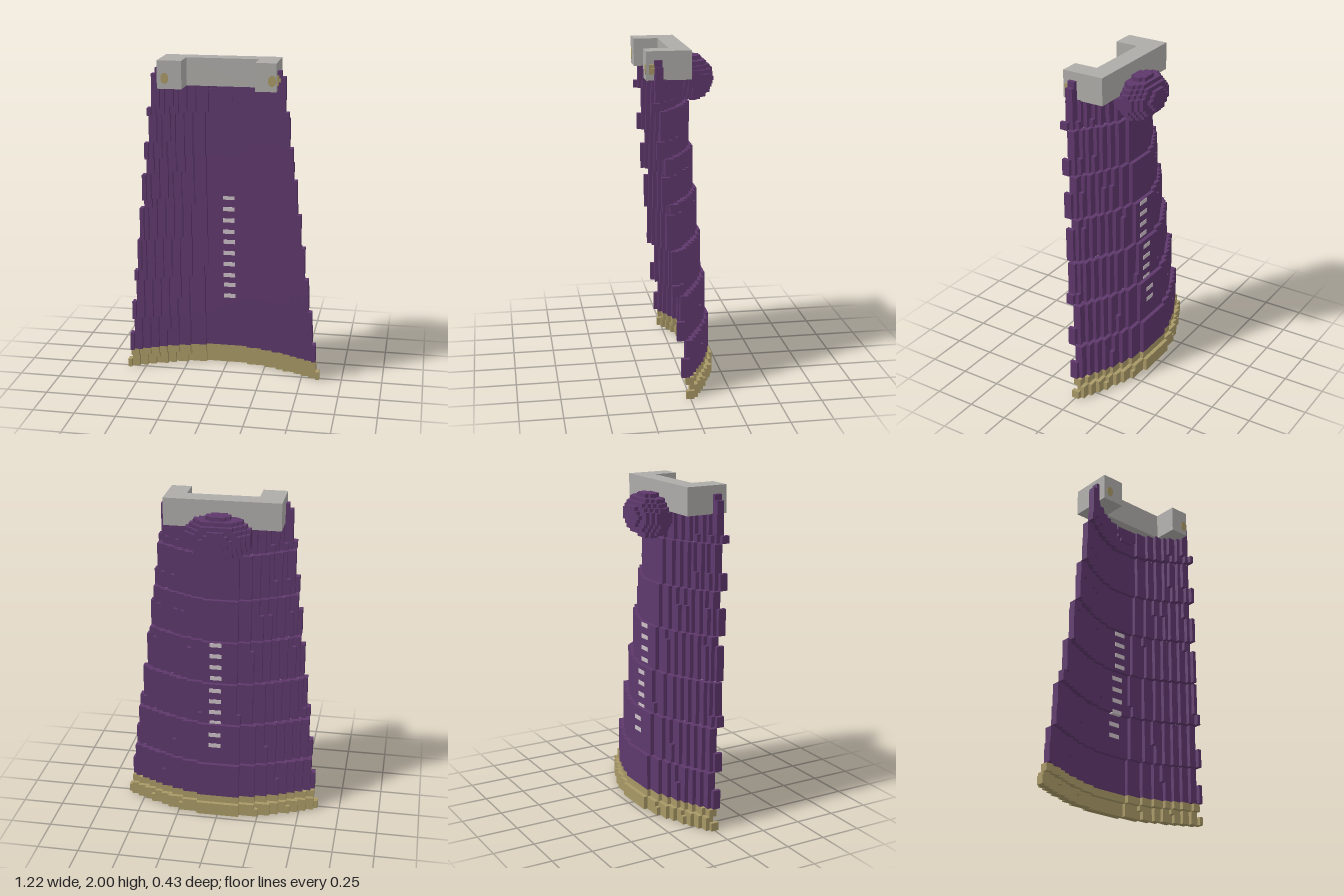
import * as THREE from 'three';
import { mergeGeometries } from 'three/addons/utils/BufferGeometryUtils.js';

const V = 0.024; // block size

const material = (name, color) => {
  const m = new THREE.MeshStandardMaterial({ color });
  m.name = name;
  return m;
};

// Box given by its lower and upper limits on each axis
function block(x0, x1, y0, y1, z0, z1) {
  return new THREE.BoxGeometry(x1 - x0, y1 - y0, z1 - z0)
    .translate((x0 + x1) / 2, (y0 + y1) / 2, (z0 + z1) / 2);
}

// Heights where the cape narrows by a block, and where it steps forward by a block
const narrowAt = [0.05, 0.24, 0.46, 0.675, 0.875, 1.085, 1.3, 1.5, 1.715];
const forwardAt = [0.08, 0.345, 0.61, 0.875, 1.14, 1.4, 1.67];
const HEM = 0.125, CAPE_TOP = 1.84;
const countBelow = (list, y) => list.filter((v) => v <= y).length;
const backZ = (y) => -0.215 + countBelow(forwardAt, y) * 0.0243;

// One horizontal band of the cape: a stepped arc, with equal columns joined into runs
function capeBand(y0, y1) {
  const y = (y0 + y1) / 2;
  const n = 25 - countBelow(narrowAt, y);
  const half = 0.615 - 0.118 * y;
  const step = (i) => {
    const u = Math.min(1, Math.abs(i * V) / half);
    return Math.round(0.193 * (1 - Math.cos(u * Math.PI / 2)) / V);
  };
  const out = [];
  for (let i = -n, start = -n; i <= n; i++) {
    if (i < n && step(i + 1) === step(start)) continue;
    const z = backZ(y) + step(start) * V;
    out.push(block((start - 0.5) * V, (i + 0.5) * V, y0, y1, z, z + 2 * V));
    start = i + 1;
  }
  return out;
}

function capePart(from, to) {
  const cuts = [from, to, ...narrowAt, ...forwardAt].filter((v) => v >= from && v <= to);
  const ys = [...new Set(cuts)].sort((a, b) => a - b);
  const parts = [];
  for (let k = 0; k < ys.length - 1; k++) parts.push(...capeBand(ys[k], ys[k + 1]));
  return parts;
}

// Stepped ellipsoid made of bars running along x
function blockEllipsoid(cx, cy, cz, rx, ry, rz) {
  const parts = [];
  const ny = Math.round(ry * 2 / V), nz = Math.round(rz * 2 / V);
  const dy = ry * 2 / ny, dz = rz * 2 / nz;
  for (let j = 0; j < ny; j++) {
    for (let k = 0; k < nz; k++) {
      const y = -ry + (j + 0.5) * dy, z = -rz + (k + 0.5) * dz;
      const r = 1 - (y / ry) ** 2 - (z / rz) ** 2;
      if (r <= 0) continue;
      const h = Math.max(1, Math.round(rx * Math.sqrt(r) / V)) * V;
      parts.push(block(cx - h, cx + h, cy + y - dy / 2, cy + y + dy / 2,
        cz + z - dz / 2, cz + z + dz / 2));
    }
  }
  return parts;
}

export function createModel() {
  const group = new THREE.Group();
  const purple = material('purple cloth', 0x5e386c);
  const gold = material('gold trim', 0xa89866);
  const grey = material('grey collar', 0xadaba8);
  const pale = material('pale stripe', 0xcabfc6);

  const add = (name, geometry, mat) => {
    const mesh = new THREE.Mesh(geometry, mat);
    mesh.name = name;
    group.add(mesh);
    return mesh;
  };

  // Cape cloth and its hem
  add('capeHem', mergeGeometries(capePart(0, HEM)), gold);
  add('capeCloth', mergeGeometries(capePart(HEM, CAPE_TOP)), purple);

  // Cape corners rising beside the collar
  for (const s of [-1, 1]) {
    const corner = mergeGeometries([
      block(-0.03, 0.024, CAPE_TOP, 1.915, 0.125, 0.17),
      block(-0.03, 0, 1.915, 1.95, 0.125, 0.17),
    ]);
    if (s < 0) corner.rotateY(Math.PI).translate(0, 0, 0.295);
    add(s > 0 ? 'leftCapeCorner' : 'rightCapeCorner', corner.translate(s * 0.372, 0, 0), purple);
  }

  // Rolled hood at the back
  add('hoodRoll', mergeGeometries(blockEllipsoid(0.01, 1.8, -0.1, 0.195, 0.13, 0.115)), purple);

  // U-shaped collar, open to the front
  const outline = new THREE.Shape([
    [-0.35, 0.045], [0.347, 0.045], [0.347, -0.215], [0.225, -0.215],
    [0.225, -0.07], [-0.205, -0.07], [-0.205, -0.215], [-0.35, -0.215],
  ].map(([x, y]) => new THREE.Vector2(x, y)));
  const collar = new THREE.ExtrudeGeometry(outline, { depth: 0.165, bevelEnabled: false });
  add('collar', collar.rotateX(-Math.PI / 2).translate(0, 1.835, 0), grey);

  // Clasps on the collar ends
  for (const [name, x] of [['rightClasp', -0.305], ['leftClasp', 0.322]]) {
    const clasp = new THREE.CylinderGeometry(1, 1, 0.006, 8).rotateX(Math.PI / 2).rotateZ(Math.PI / 8);
    add(name, clasp.scale(0.024, 0.034, 1).translate(x, 1.897, 0.214), gold);
  }
  add('claspPin', mergeGeometries([
    block(0.34, 0.357, 1.87, 1.925, 0.17, 0.2),
    block(0.34, 0.367, 1.887, 1.907, 0.17, 0.19),
  ]), gold);

  // Short stripes down the middle, showing on both faces
  for (let i = 0; i < 10; i++) {
    const y = 0.47 + i * 0.0727, z = backZ(y);
    add('stripe', block(-0.013, 0.06, y - 0.013, y + 0.013, z - 0.003, z + 2 * V + 0.003), pale);
  }
  return group;
}
